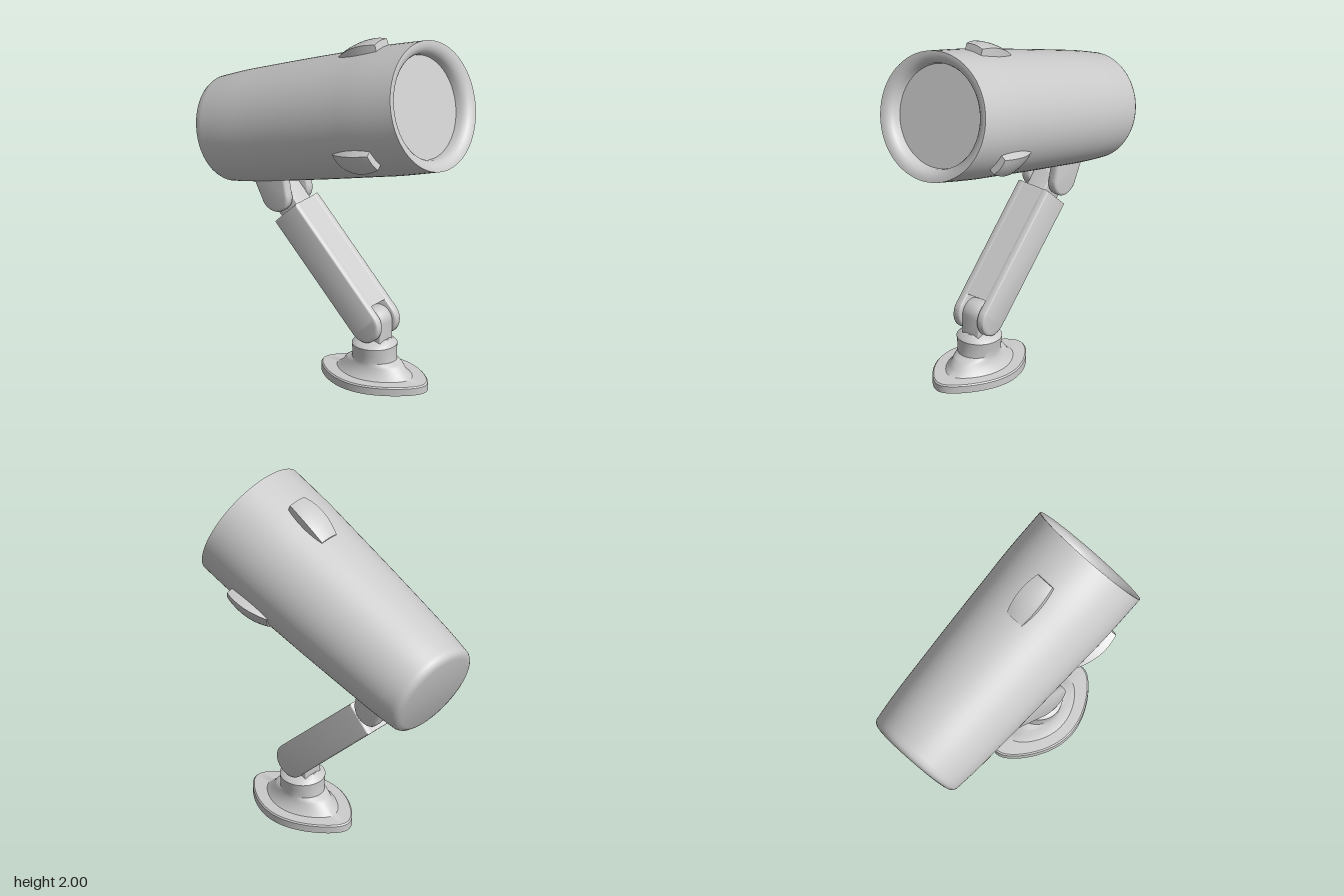
import * as THREE from 'three';
import { toCreasedNormals } from 'three/addons/utils/BufferGeometryUtils.js';

const grey = new THREE.MeshStandardMaterial({ color: 0xcccccc });
const greyOpen = new THREE.MeshStandardMaterial({ color: 0xcccccc, side: THREE.DoubleSide });

function part(name, geometry, parent, crease = 0.6, material = grey) {
  const mesh = new THREE.Mesh(toCreasedNormals(geometry, crease), material);
  mesh.name = name;
  parent.add(mesh);
  return mesh;
}

function group(name, parent, y, z, tilt) {
  const g = new THREE.Group();
  g.name = name;
  g.position.set(0, y, z);
  g.rotation.x = tilt;
  parent.add(g);
  return g;
}

// Extrudes a side profile, drawn as (z, y), across x from x0 to x1.
function slab(shape, x0, x1, bevel = 0) {
  const geo = new THREE.ExtrudeGeometry(shape, {
    depth: x1 - x0 - 2 * bevel, curveSegments: 20, bevelEnabled: bevel > 0,
    bevelThickness: bevel, bevelSize: bevel, bevelOffset: -bevel, bevelSegments: 4,
  });
  return geo.rotateY(-Math.PI / 2).translate(x1 - bevel, 0, 0);
}

// A bar with one round end at the origin, reaching up (dir 1) or down (dir -1).
function lug(radius, length, dir = 1, endHalf = radius) {
  const s = new THREE.Shape();
  s.absarc(0, 0, radius, 0, Math.PI, dir > 0);
  s.lineTo(-endHalf, length * dir);
  s.lineTo(endHalf, length * dir);
  s.closePath();
  return s;
}

// Closed rings of [y, halfX, halfZ, pinch]; pinch narrows the two z ends.
function loft(rings, n = 64) {
  const pos = [], index = [];
  rings.forEach(([y, a, b, pinch], r) => {
    for (let i = 0; i < n; i++) {
      const t = (i / n) * Math.PI * 2, c = Math.cos(t), s = Math.sin(t);
      pos.push(a * c * (1 - pinch * s * s), y, b * s);
      if (r === 0) continue;
      const j = (i + 1) % n, p = (r - 1) * n, q = r * n;
      index.push(p + i, q + i, p + j, p + j, q + i, q + j);
    }
  });
  const geo = new THREE.BufferGeometry();
  geo.setAttribute('position', new THREE.Float32BufferAttribute(pos, 3));
  geo.setIndex(index);
  geo.computeVertexNormals();
  return geo;
}

// Tapered raised pad sitting on the barrel.
function padGeometry() {
  const geo = new THREE.BoxGeometry(2, 1, 0.265, 6, 1, 10);
  const p = geo.attributes.position;
  for (let i = 0; i < p.count; i++) {
    const x = p.getX(i), z = p.getZ(i), e = z / 0.1325;
    const top = 0.396 - 1.3 * (z - 0.06) ** 2 - 0.008 * x * x;
    p.setXYZ(i, x * (0.07 - 0.015 * e * e), p.getY(i) > 0 ? top : 0.28, z);
  }
  return geo;
}

export function createModel() {
  const model = new THREE.Group();
  model.name = 'barrelOnArm';

  // Base: hollow flange, stepped foot and collar
  const base = group('base', model, 0, 0.272, 0);
  part('flange', loft([
    [0.13, 0.001, 0.001, 0], [0.13, 0.08, 0.09, 0], [0.05, 0.11, 0.16, 0.1],
    [0.025, 0.17, 0.27, 0.3], [0, 0.195, 0.31, 0.3], [0, 0.212, 0.33, 0.3],
    [0.04, 0.212, 0.33, 0.3], [0.047, 0.205, 0.322, 0.3], [0.05, 0.15, 0.23, 0.2],
    [0.075, 0.125, 0.195, 0.1], [0.108, 0.112, 0.17, 0.05], [0.116, 0.11, 0.155, 0],
    [0.13, 0.108, 0.125, 0], [0.17, 0.114, 0.12, 0], [0.212, 0.12, 0.122, 0],
    [0.225, 0.105, 0.112, 0], [0.245, 0.062, 0.085, 0], [0.245, 0.001, 0.001, 0],
  ]), base, 0.6, greyOpen);
  const baseTongue = part('baseTongue', slab(lug(0.076, 0.15, -1), -0.056, 0.056, 0.006), base);
  baseTongue.position.y = 0.335;

  // Arm: two round-ended cheeks, a web between them and a top tongue
  const arm = group('arm', model, 0.335, 0.272, -0.775);
  for (const side of [-1, 1]) {
    const [a, b] = side < 0 ? [-0.106, -0.056] : [0.056, 0.106];
    part(side < 0 ? 'rightCheek' : 'leftCheek', slab(lug(0.095, 0.735), a, b, 0.014), arm, 0.7);
  }
  const web = new THREE.Shape([
    [0.094, 0.06], [0.094, 0.734], [-0.094, 0.734], [-0.094, 0.24], [0.0, 0.09],
  ].map(([z, y]) => new THREE.Vector2(z, y)));
  part('armWeb', slab(web, -0.071, 0.071), arm);
  const armTongue = part('armTongue', slab(lug(0.07, 0.15, -1), -0.06, 0.06, 0.006), arm);
  armTongue.position.y = 0.835;

  // Head: local origin at the centre of the front rim, axis along z
  const head = group('head', model, 1.667, 0.655, -0.334);
  const body = new THREE.SplineCurve([
    [0.281, -1.4], [0.297, -1.25], [0.31, -1.05], [0.327, -0.75],
    [0.341, -0.45], [0.35, -0.25], [0.352, 0],
  ].map(([r, s]) => new THREE.Vector2(r, s))).getPoints(24);
  const profile = [
    [0, -1.43], [0.238, -1.43], [0.258, -1.425], [0.273, -1.415], ...body.map((v) => [v.x, v.y]),
    [0.338, -0.001], [0.322, -0.005], [0.307, -0.013], [0.294, -0.026], [0.284, -0.045], [0.28, -0.08],
  ].map(([r, s]) => new THREE.Vector2(r, s));
  part('barrel', new THREE.LatheGeometry(profile, 72).rotateX(Math.PI / 2), head, 0.8, greyOpen);
  part('frontDisc', new THREE.CircleGeometry(0.281, 72).translate(0, 0, -0.078), head);

  // Three pads spaced evenly around the barrel
  ['topPad', 'leftPad', 'rightPad'].forEach((name, i) => {
    const pad = part(name, padGeometry(), head, 0.5);
    pad.position.z = -0.363;
    pad.rotation.z = (-i * Math.PI * 2) / 3;
  });

  // Hinge cheeks under the barrel
  for (const side of [-1, 1]) {
    const [a, b] = side < 0 ? [-0.12, -0.061] : [0.061, 0.12];
    const hinge = part(side < 0 ? 'rightHinge' : 'leftHinge',
      slab(lug(0.088, 0.15, 1, 0.11), a, b, 0.016), head, 0.7);
    hinge.position.set(0, -0.37, -1.143);
  }
  return model;
}
